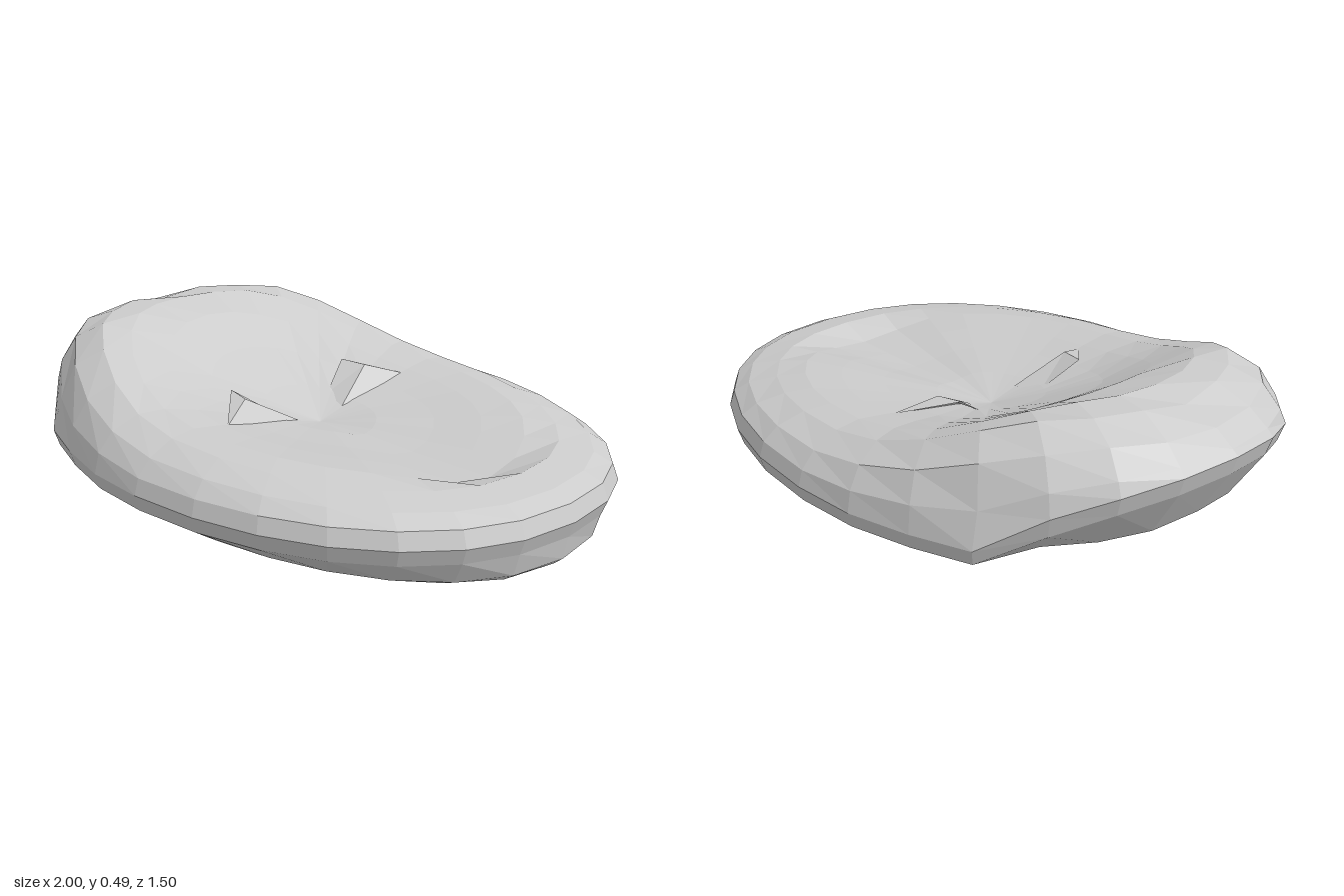
import * as THREE from 'three';

const SEGMENTS = 28;

// Cushion section from underside centre, round the rim, to the seat centre:
// [radius fraction, height, which lift curve it follows, depth of the groove at the low end]
const SECTION = [
  [0, 0.13, 'under', 0], [0.2, 0.08, 'under', 0], [0.42, 0.04, 'under', 0],
  [0.7, 0.005, 'under', 0], [0.83, 0.03, 'under', 0],
  [0.98, 0.1, 'side', 0], [1, 0.15, 'side', 0], [0.98, 0.2, 'edge', 0],
  [0.92, 0.25, 'shoulder', 0], [0.81, 0.29, 'top', 0], [0.7, 0.3, 'top', 0.06], [0.56, 0.285, 'top', 0.055],
  [0.4, 0.26, 'top', 0.04], [0.2, 0.235, 'top', 0.02], [0, 0.195, 'top', 0],
];

// Height added along x towards the raised end: [x, lift]
const LIFT = {
  under: [[-1, 0.19], [-0.85, 0.12], [-0.6, 0.08], [-0.4, 0.055], [-0.2, 0.02], [0, 0]],
  side: [[-1, 0.23], [-0.8, 0.14], [-0.64, 0.01], [-0.3, 0], [0, 0]],
  edge: [[-1, 0.2], [-0.8, 0.16], [-0.6, 0.06], [-0.3, 0.02], [0, 0]],
  shoulder: [[-1, 0.18], [-0.8, 0.2], [-0.6, 0.14], [-0.4, 0.07], [-0.15, 0.015], [0, 0]],
  top: [[-1, 0.18], [-0.8, 0.2], [-0.6, 0.185], [-0.5, 0.14], [-0.3, 0.06], [-0.15, 0.02], [0, 0]],
};

function lift(kind, x) {
  const curve = LIFT[kind];
  for (let i = 1; i < curve.length; i++) {
    const [x0, y0] = curve[i - 1], [x1, y1] = curve[i];
    if (x <= x1) return THREE.MathUtils.lerp(y0, y1, Math.max(0, (x - x0) / (x1 - x0)));
  }
  return 0;
}

function cushionPoint([fraction, height, kind, groove], angle) {
  const c = Math.cos(angle), s = Math.sin(angle);
  const low = Math.max(0, c), raised = Math.max(0, -c);
  // the ends have a steeper, blockier underside, most of all the low one
  const f = kind === 'under' && fraction > 0.5
    ? Math.pow(fraction, 1 - 0.82 * low ** 2 - 0.3 * raised) : fraction;
  // slightly squared oval outline, with a small bulge where the raised end begins
  const bulge = kind === 'side' && Math.abs(c + 0.62) < 0.05 ? 1.03 : 1;
  const x = f * Math.sign(c) * Math.pow(Math.abs(c), c > 0 ? 0.95 : 1);
  const z = f * 0.75 * bulge * Math.sign(s) * Math.pow(Math.abs(s), c > 0 ? 0.9 : 0.93);
  let y = height + lift(kind, x);
  if (kind === 'shoulder') y -= 0.025 * low;
  if (kind === 'top') {
    y -= 0.06 * low * fraction + groove * low ** 12;
    if (c < -0.98 && fraction > 0.75) y -= 0.02; // shallow dip in the raised edge
  }
  return [x, y, z];
}

function cushionGeometry() {
  const positions = [], index = [];
  for (const ring of SECTION) {
    for (let j = 0; j < SEGMENTS; j++) positions.push(...cushionPoint(ring, (j / SEGMENTS) * Math.PI * 2));
  }
  for (let i = 0; i < SECTION.length - 1; i++) {
    for (let j = 0; j < SEGMENTS; j++) {
      const a = i * SEGMENTS + j, b = i * SEGMENTS + (j + 1) % SEGMENTS;
      const d = a + SEGMENTS, c = b + SEGMENTS;
      if (i < SECTION.length - 2) index.push(a, d, c);
      else index.push(a, d, b);
      if (i > 0 && i < SECTION.length - 2) index.push(a, c, b);
    }
  }
  const geometry = new THREE.BufferGeometry();
  geometry.setAttribute('position', new THREE.Float32BufferAttribute(positions, 3));
  geometry.setIndex(index);
  geometry.computeVertexNormals();
  return geometry;
}

// Small pointed fold standing up from the seat
function foldGeometry(side) {
  const corners = [
    [-0.15, 0.325, 0.25], [-0.06, 0.32, 0.27], [0.005, 0.275, 0.4], [-0.1, 0.24, 0.13], [0, 0.225, 0.1],
  ];
  const geometry = new THREE.BufferGeometry();
  geometry.setAttribute('position',
    new THREE.Float32BufferAttribute(corners.flatMap(([x, y, z]) => [x, y, z * side]), 3));
  geometry.setIndex([0, 1, 3, 1, 4, 3, 1, 2, 4, 0, 2, 1]);
  geometry.computeVertexNormals();
  return geometry;
}

export function createModel() {
  const model = new THREE.Group();
  model.name = 'cushion';
  const material = new THREE.MeshStandardMaterial({ color: 0xcccccc, flatShading: true });
  const thinMaterial = material.clone();
  thinMaterial.side = THREE.DoubleSide;

  const body = new THREE.Mesh(cushionGeometry(), material);
  body.name = 'cushionBody';
  model.add(body);

  for (const side of [1, -1]) {
    const fold = new THREE.Mesh(foldGeometry(side), thinMaterial);
    fold.name = side > 0 ? 'frontFold' : 'backFold';
    model.add(fold);
  }
  return model;
}
